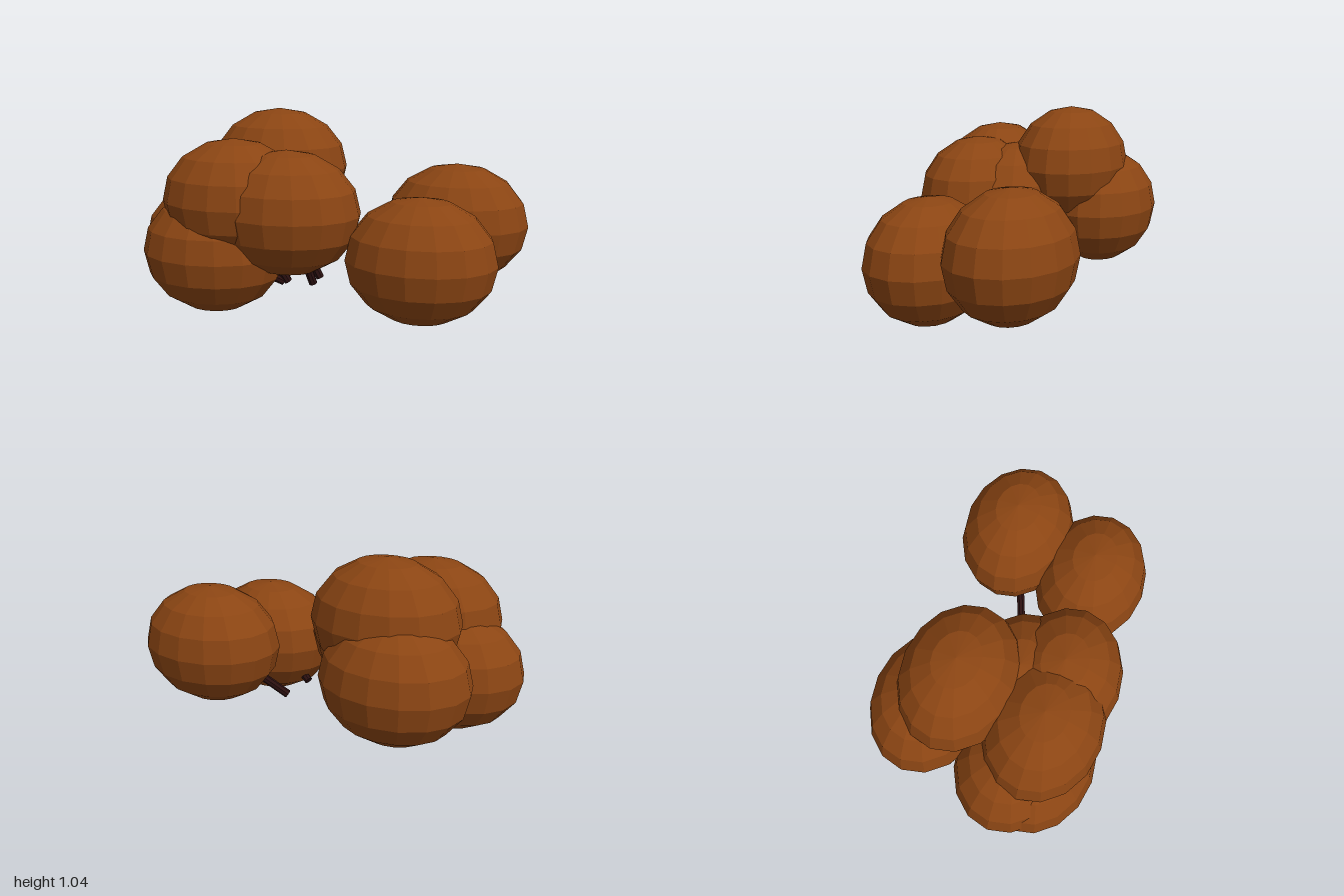
import * as THREE from 'three';

// Fruit centre, then the free lower end of its stem
const FRUITS = [
  ['frontLeftFruit', [0.525, 0.346, 0.225], [0.22, 0.14, 0.12]],
  ['backLeftFruit', [0.608, 0.444, -0.253], [0.235, 0.14, -0.09]],
  ['topFruit', [-0.39, 0.719, -0.175], [-0.19, 0.13, -0.045]],
  ['upperFrontFruit', [-0.45, 0.602, 0.295], [-0.22, 0.14, 0.14]],
  ['frontCentreFruit', [-0.158, 0.556, 0.292], [-0.08, 0.14, 0.13]],
  ['lowerFrontFruit', [-0.57, 0.325, 0.312], [-0.24, 0.14, 0.15]],
  ['rightFruit', [-0.615, 0.362, 0.2], [-0.28, 0.14, 0.09]],
  ['backRightFruit', [-0.505, 0.475, -0.315], [-0.24, 0.14, -0.1]],
  ['centreFruit', [-0.255, 0.522, 0.09], [-0.08, 0.14, 0.02]],
];

export function createModel() {
  const model = new THREE.Group();
  const skin = new THREE.MeshStandardMaterial({ color: 0x8b4513, flatShading: true });
  skin.name = 'brownSkin';
  const bark = new THREE.MeshStandardMaterial({ color: 0x2b1010, flatShading: true });
  bark.name = 'darkStem';

  // Faceted ellipsoid shared by every fruit
  const fruitGeometry = new THREE.SphereGeometry(1, 16, 8);
  fruitGeometry.scale(0.386, 0.322, 0.31);
  const up = new THREE.Vector3(0, 1, 0);

  for (const [name, centre, end] of FRUITS) {
    const fruit = new THREE.Mesh(fruitGeometry, skin);
    fruit.name = name;
    fruit.position.set(...centre);
    model.add(fruit);

    // Stem runs from its free end into the fruit
    const from = new THREE.Vector3(...end);
    const dir = fruit.position.clone().sub(from);
    const length = dir.length() * 0.8;
    dir.normalize();
    const stem = new THREE.Mesh(new THREE.CylinderGeometry(0.023, 0.023, length, 8), bark);
    stem.name = name.replace('Fruit', 'Stem');
    stem.position.copy(from).addScaledVector(dir, length / 2);
    stem.quaternion.setFromUnitVectors(up, dir);
    model.add(stem);
  }
  return model;
}
